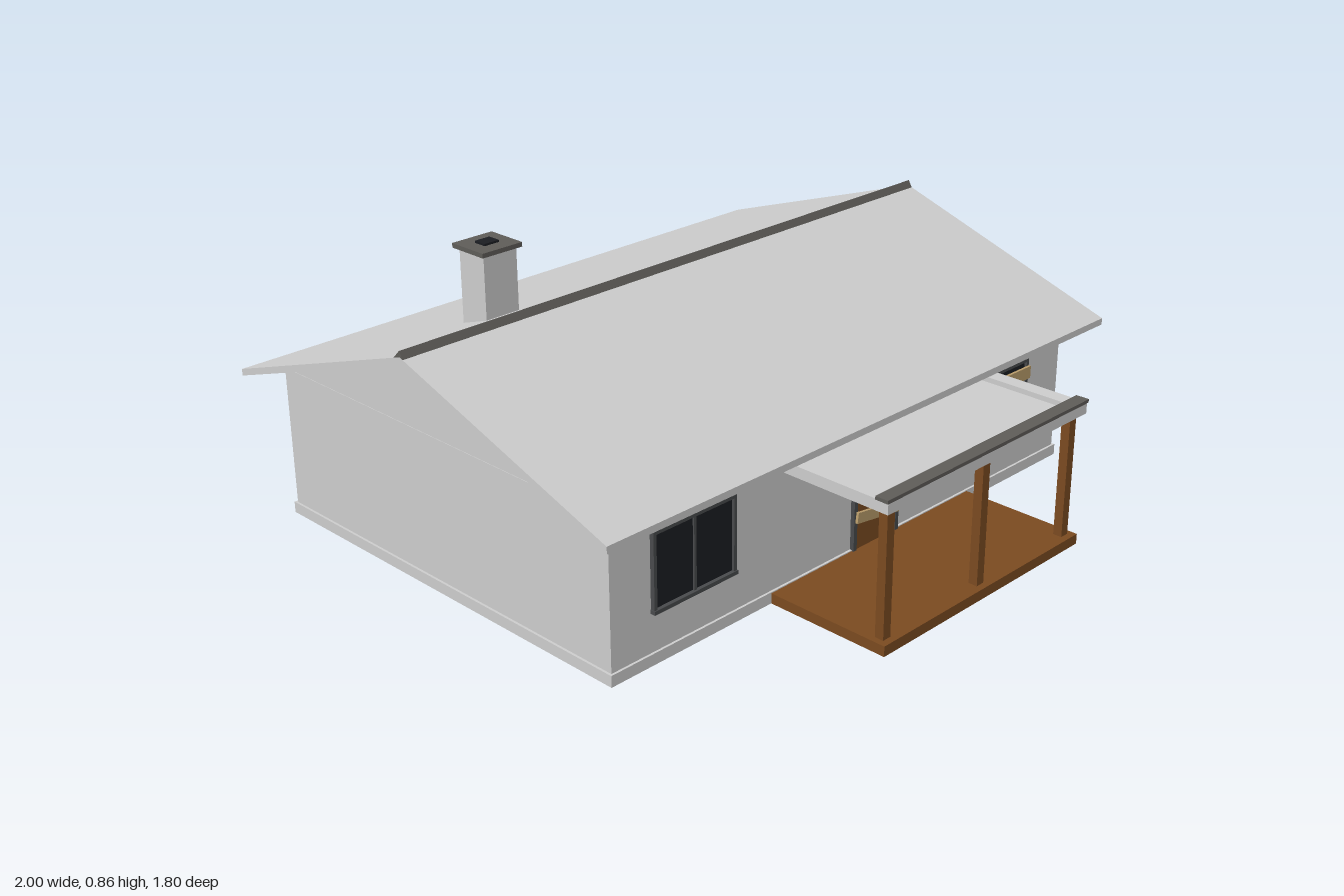
import * as THREE from 'three';

const mat = (color) => new THREE.MeshStandardMaterial({ color, flatShading: true });
const GREY = mat(0xcccccc), WOOD = mat(0x7a4a20), PLANK = mat(0xb89b6a);
const TRIM = mat(0x5e5c58), FRAME = mat(0x484a4c), GLASS = mat(0x1b1d22);

export function createModel() {
  const house = new THREE.Group();
  house.name = 'house';

  const add = (name, geometry, material, parent = house) => {
    const mesh = new THREE.Mesh(geometry, material);
    mesh.name = name;
    parent.add(mesh);
    return mesh;
  };
  // Box given by its limits on each axis
  const box = (name, [x0, x1], [y0, y1], [z0, z1], material, parent) => {
    const mesh = add(name, new THREE.BoxGeometry(x1 - x0, y1 - y0, z1 - z0), material, parent);
    mesh.position.set((x0 + x1) / 2, (y0 + y1) / 2, (z0 + z1) / 2);
    return mesh;
  };
  // Profile of [z, y] points extruded along x, centred on x = 0
  const prism = (name, points, length, material) => {
    const shape = new THREE.Shape(points.map(([z, y]) => new THREE.Vector2(z, y)));
    const geometry = new THREE.ExtrudeGeometry(shape, { depth: length, bevelEnabled: false });
    geometry.rotateY(-Math.PI / 2).translate(length / 2, 0, 0);
    return add(name, geometry, material);
  };
  const group = (name, x = 0, y = 0, z = 0) => {
    const g = new THREE.Group();
    g.name = name;
    g.position.set(x, y, z);
    house.add(g);
    return g;
  };
  // Plank nailed between two points on the front wall
  const plank = (name, [x0, y0], [x1, y1], width, z, parent) => {
    const length = Math.hypot(x1 - x0, y1 - y0);
    const mesh = add(name, new THREE.BoxGeometry(length, width, 0.008), PLANK, parent);
    mesh.position.set((x0 + x1) / 2, (y0 + y1) / 2, z);
    mesh.rotation.z = Math.atan2(y1 - y0, x1 - x0);
  };

  // Walls with gables, and the plinth
  prism('walls', [[0.51, 0.01], [0.51, 0.45], [-0.15, 0.675], [-0.815, 0.45], [-0.815, 0.01]], 1.83, GREY);
  box('plinth', [-0.922, 0.922], [0, 0.033], [-0.822, 0.517], GREY);
  for (const side of [-1, 1]) {
    const x = side * 0.9155;
    box('gableLine', [x - 0.001, x + 0.001], [0.449, 0.452], [-0.815, 0.51], GREY);
  }

  // Pitched roof and ridge cap
  prism('roof', [[0.6, 0.447], [-0.15, 0.698], [-0.9, 0.447], [-0.9, 0.427], [-0.15, 0.676], [0.6, 0.427]], 2, GREY);
  prism('ridgeCap', [[-0.135, 0.69], [-0.15, 0.715], [-0.178, 0.687], [-0.15, 0.694]], 2, TRIM);

  // Chimney
  box('chimneyStack', [-0.625, -0.513], [0.6, 0.84], [-0.372, -0.272], GREY);
  box('chimneyCap', [-0.637, -0.502], [0.838, 0.851], [-0.387, -0.26], TRIM);
  box('chimneyFlue', [-0.594, -0.545], [0.85, 0.857], [-0.344, -0.304], GLASS);

  // Porch deck, posts and flat canopy
  box('porchDeck', [-0.353, 0.482], [0, 0.03], [0.51, 0.9], WOOD);
  for (const x of [-0.32, 0.065, 0.45])
    box('porchPost', [x - 0.014, x + 0.014], [0.03, 0.4], [0.853, 0.88], WOOD);
  box('canopyPanel', [-0.315, 0.445], [0.397, 0.412], [0.51, 0.865], GREY);
  for (const [x0, x1] of [[-0.355, -0.31], [0.44, 0.485]])
    box('canopySide', [x0, x1], [0.395, 0.427], [0.51, 0.895], GREY);
  box('canopyFront', [-0.355, 0.485], [0.395, 0.427], [0.86, 0.897], GREY);
  box('canopyTrim', [-0.36, 0.488], [0.427, 0.437], [0.86, 0.9], TRIM);

  // Rectangular frame around an opening
  const frame = (w, y0, y1, t, parent) => {
    const h = w / 2, z = [0, 0.015];
    box('frameLeft', [h - t, h], [y0, y1], z, FRAME, parent);
    box('frameRight', [-h, -h + t], [y0, y1], z, FRAME, parent);
    box('frameTop', [-h, h], [y1 - t, y1], z, FRAME, parent);
  };

  // Boarded door
  const door = group('door', 0.065, 0, 0.508);
  frame(0.19, 0.03, 0.367, 0.013, door);
  box('doorLeaf', [-0.082, 0.082], [0.03, 0.355], [0, 0.01], WOOD, door);
  const knob = add('doorKnob', new THREE.SphereGeometry(0.008, 10, 8), GLASS, door);
  knob.position.set(0.055, 0.165, 0.016);
  plank('doorPlank', [-0.085, 0.235], [0.087, 0.26], 0.032, 0.02, door);
  plank('doorPlank', [-0.09, 0.133], [0.087, 0.108], 0.032, 0.02, door);

  // Two windows, the left one boarded up
  for (const x of [-0.635, 0.602]) {
    const win = group('window', x, 0, 0.508);
    frame(0.29, 0.145, 0.372, 0.01, win);
    box('sill', [-0.147, 0.147], [0.145, 0.156], [0, 0.018], FRAME, win);
    box('glass', [-0.138, 0.138], [0.153, 0.365], [0, 0.007], GLASS, win);
    box('mullion', [-0.004, 0.004], [0.153, 0.365], [0, 0.012], FRAME, win);
    if (x > 0) {
      plank('windowPlank', [-0.147, 0.333], [0.145, 0.33], 0.038, 0.019, win);
      plank('windowPlank', [-0.147, 0.278], [0.145, 0.272], 0.036, 0.019, win);
      plank('windowPlank', [-0.147, 0.185], [0.145, 0.19], 0.036, 0.019, win);
      plank('windowPlank', [-0.14, 0.318], [0.12, 0.178], 0.036, 0.027, win);
    }
  }

  return house;
}
